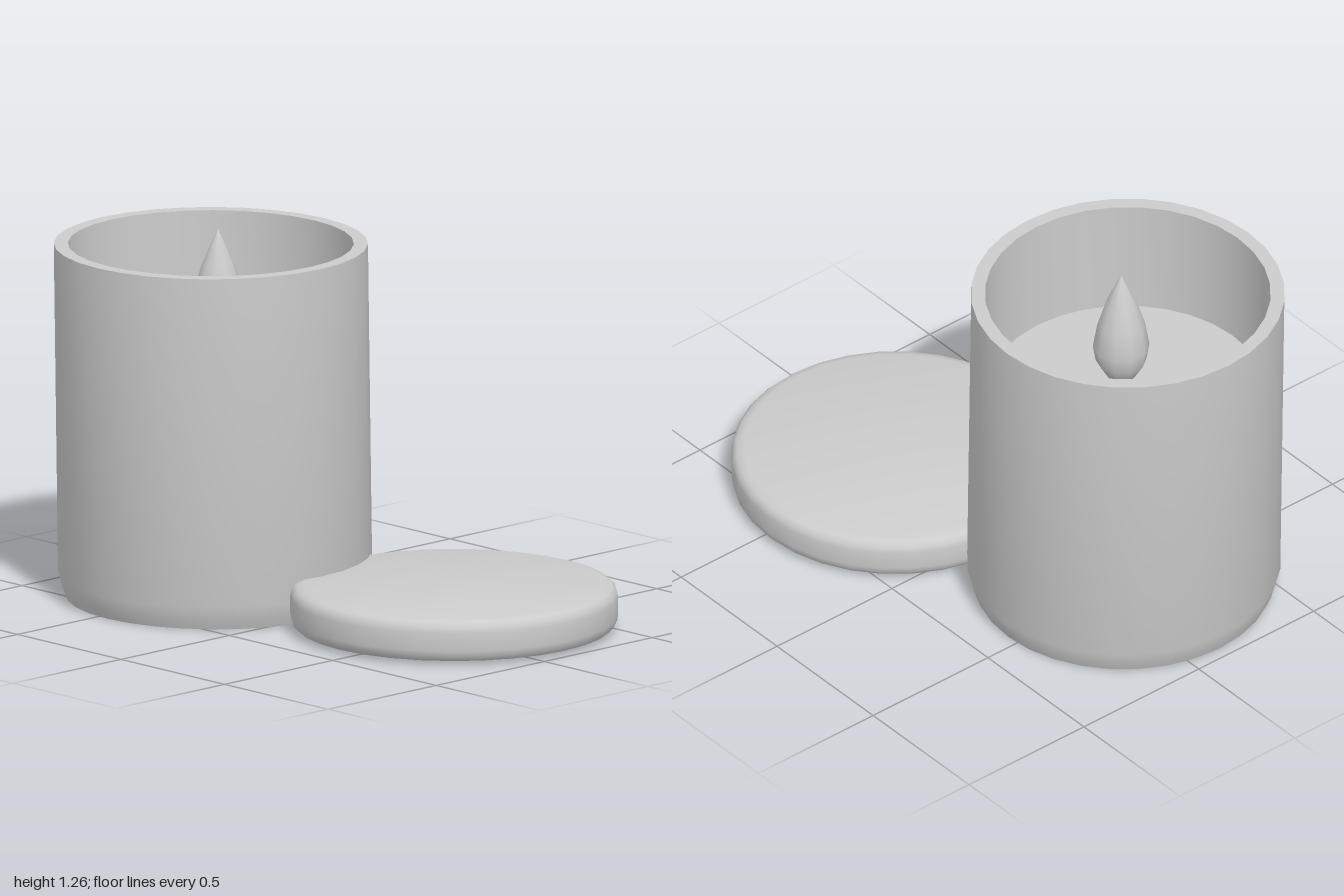
import * as THREE from 'three';
import { toCreasedNormals } from 'three/addons/utils/BufferGeometryUtils.js';

const material = new THREE.MeshStandardMaterial({ color: 0xcccccc });

// Revolves a profile, listed from the bottom axis outwards and up.
function turned(name, profile, sides, crease, x, z) {
  const points = profile.map(([r, y]) => new THREE.Vector2(r, y));
  const geometry = toCreasedNormals(new THREE.LatheGeometry(points, sides), crease);
  const mesh = new THREE.Mesh(geometry, material);
  mesh.name = name;
  mesh.position.set(x, 0, z);
  return mesh;
}

export function createModel() {
  const group = new THREE.Group();
  group.name = 'candleJarWithLid';

  // Hollow jar with a narrowed foot and a thin flat rim
  const jar = turned('jar', [
    [0, 0], [0.5, 0], [0.512, 0.03], [0.525, 0.08], [0.525, 1.205],
    [0.478, 1.205], [0.472, 0.06], [0, 0.06],
  ], 32, 0.6, -0.457, 0.126);

  // Wax filling the jar to two thirds of its height
  const wax = turned('wax', [
    [0, 0.07], [0.47, 0.07], [0.474, 0.78], [0.464, 0.8], [0, 0.8],
  ], 32, 0.6, -0.457, 0.126);

  // The jar leans slightly while its rim stays level
  const lean = new THREE.Matrix4().set(
    1, -0.014, 0, 0,
    0, 1, 0, 0,
    0, 0.004, 1, 0,
    0, 0, 0, 1,
  );
  for (const part of [jar, wax]) part.geometry.applyMatrix4(lean);

  // Wick and teardrop flame
  const wick = turned('wick', [
    [0, 0.79], [0.018, 0.79], [0.018, 0.88], [0, 0.88],
  ], 8, 0.9, -0.44, 0.13);
  const flame = turned('flame', [
    [0, 0.83], [0.05, 0.85], [0.085, 0.91], [0.095, 0.97],
    [0.08, 1.06], [0.055, 1.14], [0.027, 1.205], [0, 1.26],
  ], 10, 1.0, -0.44, 0.13);

  // Round-edged lid lying beside the jar
  const lid = turned('lid', [
    [0, 0.008], [0.505, 0.008], [0.53, 0.014], [0.544, 0.03], [0.548, 0.05],
    [0.548, 0.112], [0.544, 0.132], [0.53, 0.147], [0.505, 0.154], [0, 0.154],
  ], 32, 0.7, 0.447, -0.113);

  group.add(jar, wax, wick, flame, lid);
  return group;
}
